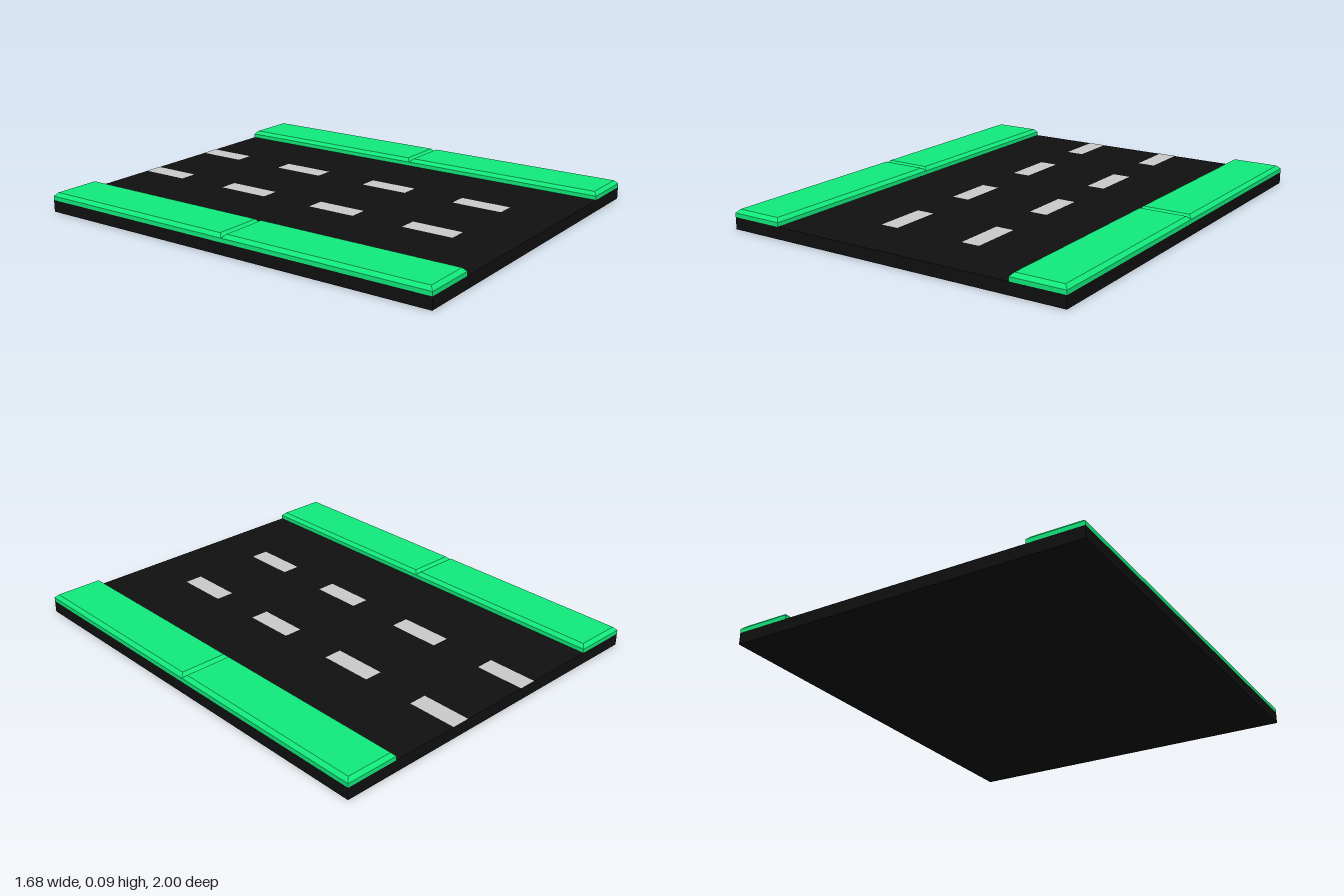
import * as THREE from 'three';

const ROAD_TOP = 0.055;

function material(color) {
  return new THREE.MeshStandardMaterial({ color, flatShading: true });
}

// Slab standing on y = 0 whose upper edges are cut off at 45 degrees
function chamferedSlab(width, height, depth, chamfer) {
  const geometry = new THREE.BoxGeometry(width, height, depth, 1, 2, 1);
  geometry.translate(0, height / 2, 0);
  const p = geometry.attributes.position;
  for (let i = 0; i < p.count; i++) {
    const y = p.getY(i);
    if (y > height * 0.75) {
      p.setX(i, p.getX(i) - Math.sign(p.getX(i)) * chamfer);
      p.setZ(i, p.getZ(i) - Math.sign(p.getZ(i)) * chamfer);
    } else if (y > height * 0.25) {
      p.setY(i, height - chamfer);
    }
  }
  geometry.computeVertexNormals();
  return geometry;
}

export function createModel() {
  const model = new THREE.Group();
  model.name = 'roadSection';

  function add(name, geometry, mat, x, y, z) {
    const mesh = new THREE.Mesh(geometry, mat);
    mesh.name = name;
    mesh.position.set(x, y, z);
    model.add(mesh);
  }

  // Road bed
  add('roadBed', new THREE.BoxGeometry(1.676, ROAD_TOP, 2), material(0x101010), 0, ROAD_TOP / 2, 0);

  // Raised verges: two slabs along each side, meeting in a V groove
  const verge = chamferedSlab(0.252, 0.035, 1, 0.016);
  const green = material(0x11ec7d);
  for (const side of [-1, 1]) {
    for (const end of [-1, 1]) {
      add(side > 0 ? 'leftVerge' : 'rightVerge', verge, green, side * 0.712, ROAD_TOP, end * 0.5);
    }
  }

  // Lane dashes, lying just above the road surface
  const paint = material(0xcccccc);
  const dashSpans = [[-1, -0.765], [-0.51, -0.26], [0, 0.235], [0.49, 0.735]];
  for (const x of [-0.201, 0.219]) {
    for (const [z0, z1] of dashSpans) {
      const dash = new THREE.PlaneGeometry(0.086, z1 - z0).rotateX(-Math.PI / 2);
      add('laneDash', dash, paint, x, ROAD_TOP + 0.001, (z0 + z1) / 2);
    }
  }

  return model;
}
